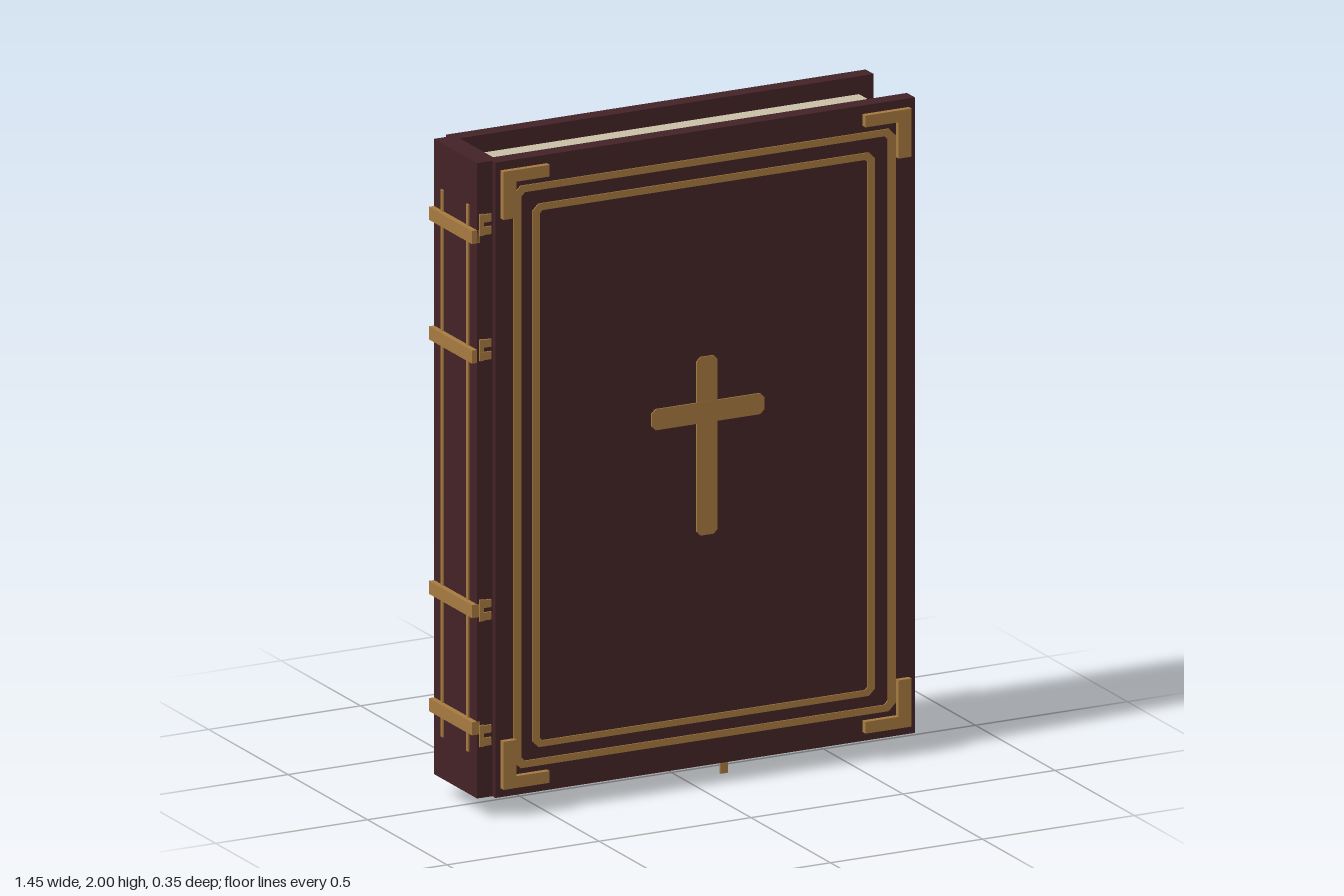
import * as THREE from 'three';

const mat = (name, color) => {
  const m = new THREE.MeshStandardMaterial({ color });
  m.name = name;
  return m;
};

export function createModel() {
  const book = new THREE.Group();
  book.name = 'book';
  const leather = mat('dark leather', 0x432226);
  const gold = mat('old gold', 0xa67a3f);
  const paper = mat('aged paper', 0xc8bfa5);

  const add = (name, geometry, material) => {
    const mesh = new THREE.Mesh(geometry, material);
    mesh.name = name;
    book.add(mesh);
    return mesh;
  };
  // Box given by its limits on each axis
  const box = (name, material, x0, x1, y0, y1, z0, z1) => {
    const g = new THREE.BoxGeometry(x1 - x0, y1 - y0, z1 - z0);
    g.translate((x0 + x1) / 2, (y0 + y1) / 2, (z0 + z1) / 2);
    return add(name, g, material);
  };
  const outline = (pts) => pts.map(([x, y]) => new THREE.Vector2(x, y));
  // Flat plate standing out from the front (side 1) or back (side -1) cover
  const FACE = 0.155;
  const plate = (name, pts, side, depth, hole) => {
    const shape = new THREE.Shape(outline(pts));
    if (hole) shape.holes.push(new THREE.Path(outline(hole)));
    const g = new THREE.ExtrudeGeometry(shape, { depth, bevelEnabled: false });
    g.translate(0, 0, side > 0 ? FACE : -FACE - depth);
    return add(name, g, gold);
  };
  // Rectangle with cut corners
  const cutRect = (x0, x1, y0, y1, c) => [
    [x0 + c, y0], [x1 - c, y0], [x1, y0 + c], [x1, y1 - c],
    [x1 - c, y1], [x0 + c, y1], [x0, y1 - c], [x0, y0 + c]];

  // Covers and spine
  box('frontCover', leather, -0.66, 0.72, 0.06, 2, 0.105, FACE);
  box('backCover', leather, -0.66, 0.72, 0.06, 2, -FACE, -0.105);
  box('spine', leather, -0.71, -0.642, 0.06, 2, -0.135, 0.135);

  // Two page blocks, with cut edges next to the spine
  for (const [z0, z1] of [[0.01, 0.092], [-0.092, -0.01]]) {
    const c = 0.012;
    const shape = new THREE.Shape(outline([
      [-0.643, -z1 + c], [-0.62, -z1], [0.665, -z1], [0.665, -z0], [-0.62, -z0], [-0.643, -z0 - c]]));
    const g = new THREE.ExtrudeGeometry(shape, { depth: 1.845, bevelEnabled: false });
    g.rotateX(-Math.PI / 2);
    g.translate(0, 0.105, 0);
    add('pages', g, paper);
  }

  // Gilt frames and metal corners on both covers
  for (const side of [1, -1]) {
    plate('outerFrame', cutRect(-0.603, 0.656, 0.14, 1.918, 0.024), side, 0.004,
      cutRect(-0.577, 0.63, 0.161, 1.897, 0.012));
    plate('innerFrame', cutRect(-0.54, 0.587, 0.196, 1.855, 0.02), side, 0.004,
      cutRect(-0.515, 0.562, 0.215, 1.834, 0.008));
    for (const [x, sx] of [[-0.643, 1], [0.7, -1]]) {
      for (const [y, sy] of [[0.087, 1], [1.974, -1]]) {
        const pts = [[0, 0], [0.152, 0], [0.152, 0.036], [0.043, 0.036], [0.043, 0.147], [0, 0.147]];
        plate('cornerGuard', pts.map(([u, v]) => [x + sx * u, y + sy * v]), side, 0.018);
      }
    }
  }

  // Flat cross on the front
  plate('frontCrossUpright', cutRect(0, 0.069, 0.765, 1.31, 0.013), 1, 0.004);
  plate('frontCrossArm', cutRect(-0.148, 0.222, 1.108, 1.172, 0.013), 1, 0.0045);

  // Raised cross on the back
  box('backCrossUpright', gold, 0, 0.066, 0.645, 1.447, -0.18, -FACE);
  box('backCrossArm', gold, -0.232, 0.292, 1.16, 1.236, -0.179, -FACE);

  // Thin cord around the back cross
  const cord = [[0.05, 1.37], [0.12, 1.335], [0.21, 1.28], [0.32, 1.2], [0.4, 1.04], [0.37, 0.99],
    [0.1, 0.74], [0.03, 0.715], [-0.07, 0.755], [-0.3, 0.98], [-0.325, 1.03], [-0.2, 1.16],
    [-0.1, 1.22], [-0.04, 1.33], [0.05, 1.37]];
  for (let i = 0; i < cord.length - 1; i++) {
    const [ax, ay] = cord[i], [bx, by] = cord[i + 1];
    const len = Math.hypot(bx - ax, by - ay);
    const g = new THREE.BoxGeometry(len + 0.006, 0.013, 0.004);
    g.rotateZ(Math.atan2(by - ay, bx - ax));
    g.translate((ax + bx) / 2, (ay + by) / 2, -FACE - 0.002);
    add('cord', g, gold);
  }

  // Gilt creature emblems on the back; outlines drawn on a slanted plan
  const unslant = ([u, v]) => [0.72 - (u - 575) / 136.2, 2 - (v - 502 - (u - 575) * 0.287) / 151];
  const emblems = {
    wingedFigure: [[612, 555], [618, 559], [624, 556], [628, 562], [627, 568], [624, 573], [632, 574],
      [638, 568], [644, 570], [645, 576], [638, 581], [629, 580], [626, 587], [632, 591], [629, 595],
      [635, 603], [632, 607], [624, 598], [619, 598], [617, 592], [611, 596], [604, 601], [603, 597],
      [611, 590], [612, 584], [605, 580], [600, 572], [597, 562], [600, 558], [607, 566], [614, 572],
      [615, 566], [611, 561]],
    lion: [[706, 587], [715, 583], [724, 587], [730, 594], [730, 606], [737, 615], [738, 621], [731, 622],
      [733, 629], [728, 632], [718, 630], [719, 626], [723, 624], [721, 615], [715, 613], [708, 616],
      [703, 622], [706, 627], [698, 626], [700, 617], [703, 609], [704, 599], [700, 593], [696, 593],
      [695, 600], [700, 603], [698, 607], [692, 602], [691, 594], [696, 589], [703, 592]],
    bull: [[602, 710], [606, 713], [609, 718], [607, 724], [612, 728], [618, 725], [627, 724], [632, 722],
      [634, 717], [638, 720], [636, 725], [641, 727], [640, 733], [635, 737], [640, 742], [642, 748],
      [640, 754], [637, 763], [629, 760], [634, 755], [633, 749], [627, 746], [620, 748], [613, 748],
      [610, 754], [612, 758], [606, 756], [607, 750], [601, 751], [600, 745], [605, 741], [602, 735],
      [604, 729], [601, 720]],
    eagle: [[708, 741], [714, 744], [720, 741], [725, 747], [720, 749], [723, 756], [727, 758], [731, 754],
      [738, 753], [738, 760], [735, 767], [731, 772], [726, 773], [722, 777], [727, 782], [732, 788],
      [729, 791], [722, 784], [716, 776], [708, 779], [698, 774], [704, 769], [697, 758], [692, 748],
      [692, 741], [698, 747], [704, 756], [710, 757], [713, 752], [708, 747]],
  };
  for (const [name, pts] of Object.entries(emblems)) plate(name, pts.map(unslant), -1, 0.004);

  // Spine bands with small clasps, and fine lines between them
  for (const [band, clasp] of [[1.775, 1.81], [1.41, 1.428], [0.633, 0.633], [0.275, 0.25]]) {
    box('spineBand', gold, -0.727, -0.7, band - 0.02, band + 0.02, -0.135, 0.135);
    for (const s of [-1, 1]) {
      for (const dy of [-0.019, 0.019]) {
        const g = new THREE.BoxGeometry(0.034, 0.024, 0.012);
        g.translate(-0.683, clasp + dy, s * 0.135);
        add('clasp', g, gold);
      }
      box('claspPin', gold, -0.704, -0.69, clasp - 0.033, clasp + 0.033, s * 0.135 - 0.005, s * 0.135 + 0.005);
    }
    box('innerStitch', gold, -0.645, -0.635, clasp - 0.03, clasp + 0.03, -0.009, 0.009);
  }
  for (const z of [-0.08, 0.08]) {
    box('spineLine', gold, -0.715, -0.708, 0.19, 1.86, z - 0.007, z + 0.007);
  }

  // Ribbon ends below the pages
  box('longRibbon', gold, 0.12, 0.145, 0, 0.12, 0.073, 0.078);
  box('shortRibbon', gold, -0.373, -0.35, 0.028, 0.12, 0.038, 0.043);

  return book;
}
